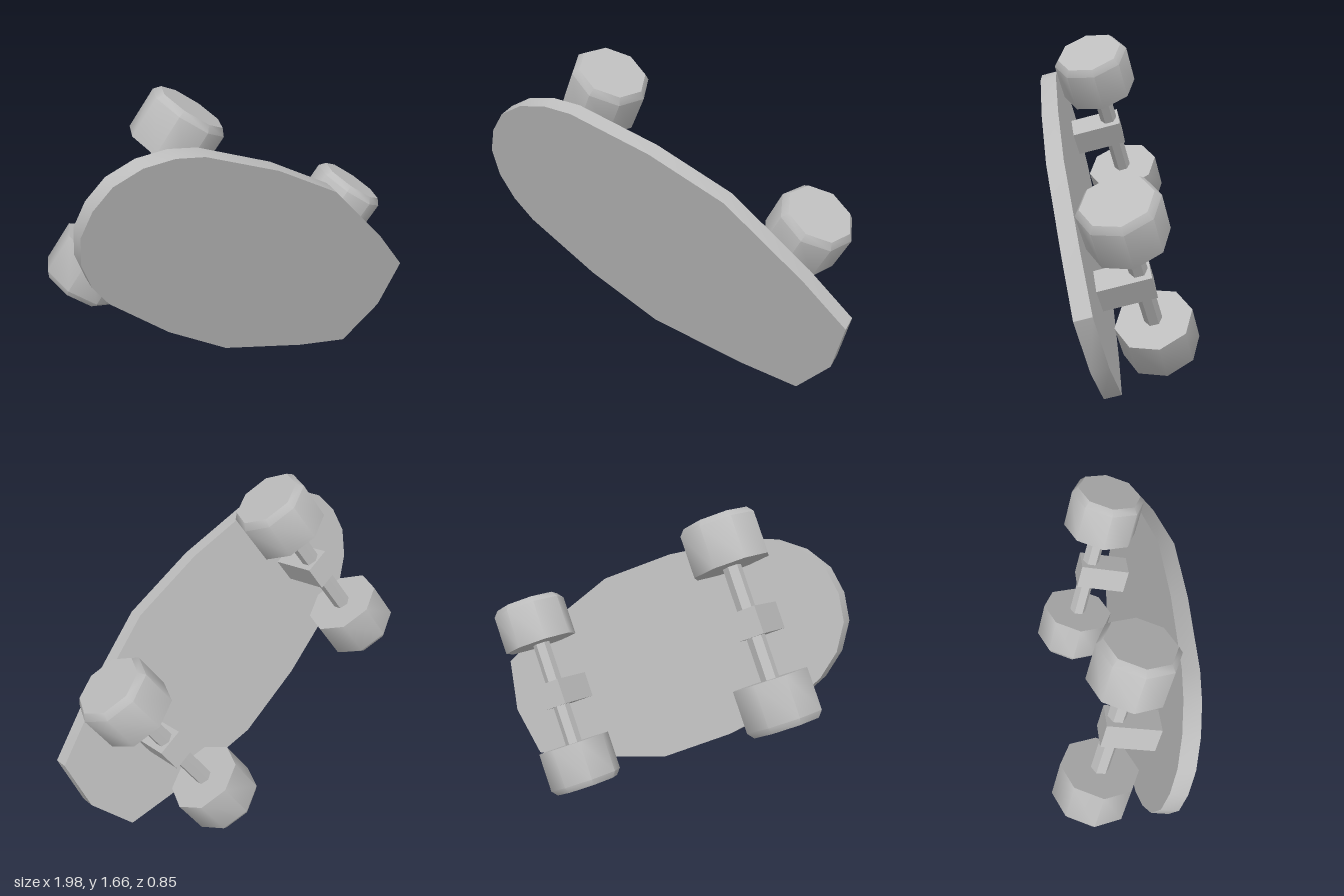
import * as THREE from 'three';
import { toCreasedNormals } from 'three/addons/utils/BufferGeometryUtils.js';

const DECK = 0.087;      // deck thickness
const AXLE_Z = -0.3;     // axle depth behind the deck's face
const TRUCKS = { rear: 0.573, front: -0.657 };

export function createModel() {
  const grey = new THREE.MeshStandardMaterial({ color: 0xbcbcbc });
  grey.name = 'grey';

  // Board frame: x along the deck, y across it, z out of the riding face
  const board = new THREE.Group();
  board.name = 'skateboard';
  const add = (name, geometry, x, y, z) => {
    const mesh = new THREE.Mesh(geometry, grey);
    mesh.name = name;
    mesh.position.set(x, y, z);
    board.add(mesh);
    return mesh;
  };

  // Deck: half outline from tail to nose, mirrored
  const half = [
    [1.048, 0], [0.984, 0.283], [0.687, 0.387], [0.179, 0.515], [-0.245, 0.498],
    [-0.679, 0.422], [-0.818, 0.362], [-0.941, 0.266], [-1.025, 0.138], [-1.047, 0],
  ];
  const mirrored = half.slice(1, -1).reverse().map(([x, y]) => [x, -y]);
  const outline = new THREE.Shape([...half, ...mirrored].map(([x, y]) => new THREE.Vector2(x, y)));
  const deck = new THREE.ExtrudeGeometry(outline, { depth: DECK, bevelEnabled: false });
  add('deck', toCreasedNormals(deck, 0.6), 0, 0, -DECK);

  // Wheel: eight sides, bevelled on its outer (+y) rim
  const profile = [[0, -0.12], [0.2, -0.12], [0.2, 0.09], [0.173, 0.122], [0, 0.122]];
  const wheel = toCreasedNormals(
    new THREE.LatheGeometry(profile.map(([r, y]) => new THREE.Vector2(r, y)), 8), 0.85);

  // Trucks: block, axle and a pair of wheels
  const blockDepth = 0.357 - DECK;
  const block = new THREE.BoxGeometry(0.14, 0.14, blockDepth);
  const axle = toCreasedNormals(new THREE.CylinderGeometry(0.046, 0.046, 0.7, 6), 0.85);
  for (const [end, x] of Object.entries(TRUCKS)) {
    add(end + 'TruckBlock', block, x, 0, -DECK - blockDepth / 2);
    add(end + 'Axle', axle, x, 0, AXLE_Z);
    for (const side of [1, -1]) {
      const mesh = add(end + (side > 0 ? 'UpperWheel' : 'LowerWheel'), wheel, x, side * 0.408, AXLE_Z);
      if (side < 0) mesh.rotation.x = Math.PI;
    }
  }

  // Tilted pose
  board.rotation.set(0.2565, 0, -Math.PI / 6);
  board.position.set(0, 0.75, 0.2455);
  const model = new THREE.Group();
  model.name = 'model';
  model.add(board);
  return model;
}
